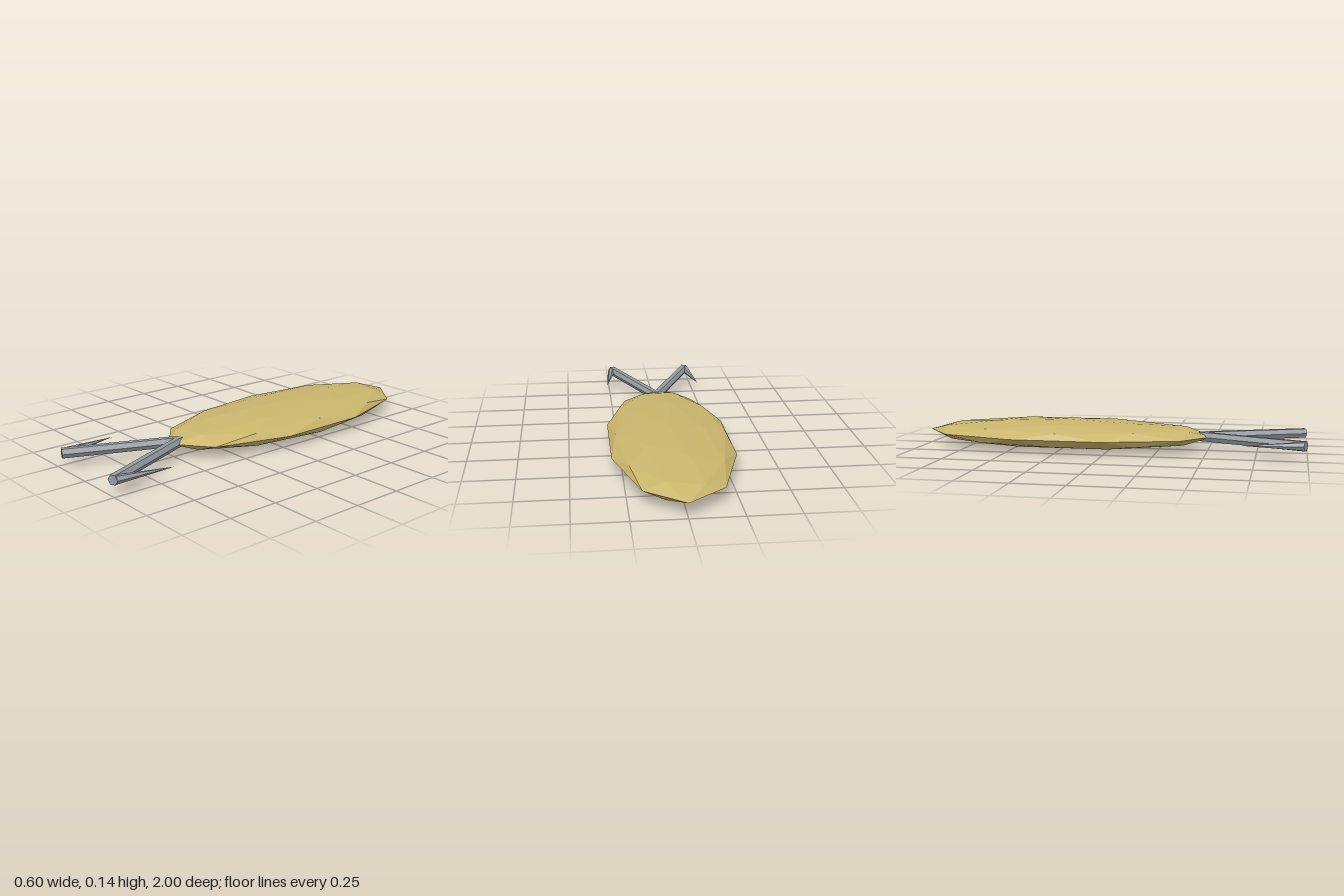
import * as THREE from 'three';

const MID_Y = 0.0735;

export function createModel() {
  const model = new THREE.Group();
  const gold = new THREE.MeshStandardMaterial({ color: 0xc9b56c, flatShading: true });
  const steel = new THREE.MeshStandardMaterial({ color: 0x969da3, flatShading: true });

  // Faceted flattened body: an icosphere stood on one of its corners, then squashed
  const bodyGeo = new THREE.IcosahedronGeometry(1, 1);
  bodyGeo.rotateZ(Math.atan(2 / (1 + Math.sqrt(5))));
  bodyGeo.scale(0.315, 0.0725, 0.765);
  const body = new THREE.Mesh(bodyGeo, gold);
  body.name = 'body';
  body.position.set(0, MID_Y, -0.235);
  model.add(body);

  // Level six-sided rod between two [x, z] points, flat side up
  function rod(name, from, to, rFrom, rTo) {
    const dx = to[0] - from[0];
    const dz = to[1] - from[1];
    const geo = new THREE.CylinderGeometry(rTo, rFrom, Math.hypot(dx, dz), 6, 1, false, Math.PI / 6);
    geo.rotateX(Math.PI / 2);
    geo.rotateY(Math.atan2(dx, dz));
    const mesh = new THREE.Mesh(geo, steel);
    mesh.name = name;
    mesh.position.set((from[0] + to[0]) / 2, MID_Y, (from[1] + to[1]) / 2);
    model.add(mesh);
  }

  // Forked prongs, each with a barb pointing back toward the body
  for (const [side, s] of [['left', 1], ['right', -1]]) {
    rod(side + 'Prong', [0, 0.46], [s * 0.225, 0.99], 0.0265, 0.0265);
    rod(side + 'Barb', [s * 0.229, 0.977], [s * 0.267, 0.685], 0.0225, 0);
  }

  return model;
}
